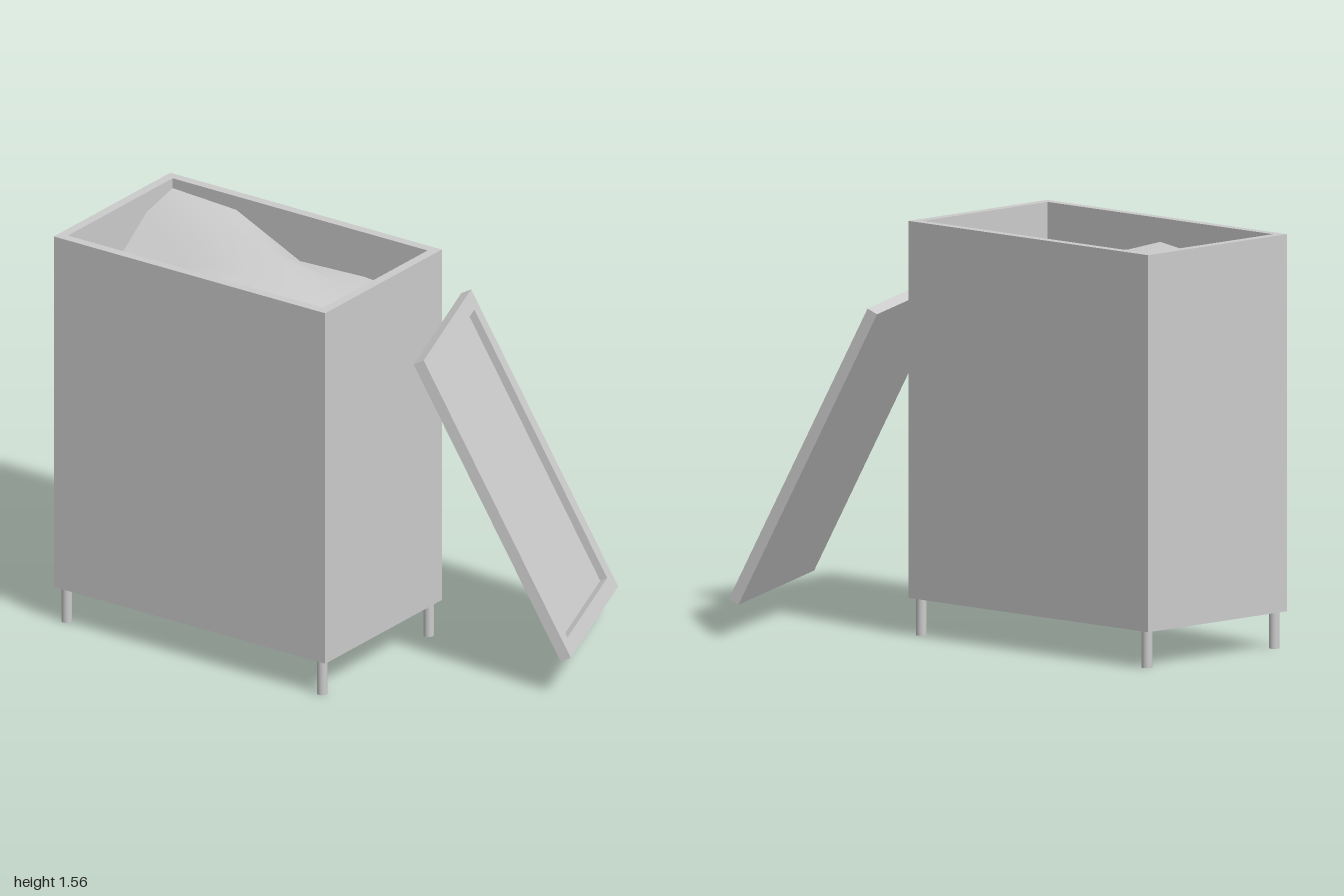
import * as THREE from 'three';

const material = new THREE.MeshStandardMaterial({ color: 0xcccccc });

function addMesh(parent, name, geometry, mat = material) {
  const mesh = new THREE.Mesh(geometry, mat);
  mesh.name = name;
  parent.add(mesh);
  return mesh;
}

// Rectangular ring of the given border width, extruded along +z
function frameGeometry(width, height, border, depth) {
  const rect = (Type, w, h) => new Type([[-w, -h], [w, -h], [w, h], [-w, h]]
    .map(([x, y]) => new THREE.Vector2(x / 2, y / 2)));
  const shape = rect(THREE.Shape, width, height);
  shape.holes.push(rect(THREE.Path, width - 2 * border, height - 2 * border));
  return new THREE.ExtrudeGeometry(shape, { depth, bevelEnabled: false });
}

function createBin() {
  const width = 0.746, length = 1.25, wall = 0.038, bottom = 0.14, height = 1.425;
  const innerW = width - 2 * wall, innerL = length - 2 * wall;
  const bin = new THREE.Group();
  bin.name = 'bin';
  bin.position.set(-0.248, 0, -0.375);

  // Four walls and the floor between them
  const walls = addMesh(bin, 'binWalls', frameGeometry(width, length, wall, height).rotateX(-Math.PI / 2));
  walls.position.y = bottom;
  const floor = addMesh(bin, 'binFloor', new THREE.BoxGeometry(innerW, wall, innerL));
  floor.position.y = bottom + wall / 2;

  // Uneven fill: depth below the rim, rows from back to front
  const depths = [
    [0.09, 0.15, 0.20, 0.08, 0.04],
    [0.13, 0.14, 0.15, 0.07, 0.055],
    [0.09, 0.10, 0.11, 0.10, 0.19],
    [0.20, 0.16, 0.14, 0.15, 0.18],
    [0.20, 0.20, 0.20, 0.21, 0.20],
  ].flat();
  const fill = new THREE.PlaneGeometry(innerW, innerL, 4, 4).rotateX(-Math.PI / 2);
  depths.forEach((d, i) => fill.attributes.position.setY(i, bottom + height - d));
  fill.computeVertexNormals();
  const fillMaterial = new THREE.MeshStandardMaterial({ color: 0xcccccc, side: THREE.DoubleSide });
  addMesh(bin, 'fill', fill, fillMaterial);

  // Legs
  for (const x of [-1, 1]) for (const z of [-1, 1]) {
    const leg = addMesh(bin, 'leg', new THREE.CylinderGeometry(0.02, 0.02, bottom, 24));
    leg.position.set(x * 0.341, bottom / 2, z * 0.588);
  }
  return bin;
}

function createLid() {
  const width = 0.756, height = 1.273, border = 0.062, thickness = 0.043, panelDepth = 0.013;
  const lid = new THREE.Group();
  lid.name = 'lid';

  // Raised rim around a recessed panel, front face at z = 0
  addMesh(lid, 'lidRim', frameGeometry(width, height, border, thickness)).position.z = -thickness;
  const panel = addMesh(lid, 'lidPanel',
    new THREE.BoxGeometry(width - 2 * border, height - 2 * border, panelDepth));
  panel.position.z = -thickness + panelDepth / 2;

  // Turned and leaning back against the bin
  const across = new THREE.Vector3(0.70, -0.025, -0.285).normalize();
  const normal = across.clone().cross(new THREE.Vector3(-0.185, 1.135, -0.545)).normalize();
  const up = normal.clone().cross(across);
  lid.quaternion.setFromRotationMatrix(new THREE.Matrix4().makeBasis(across, up, normal));
  lid.position.set(0.173, 0.72, 0.58);
  return lid;
}

export function createModel() {
  const model = new THREE.Group();
  model.name = 'binWithLid';
  model.add(createBin(), createLid());
  return model;
}
